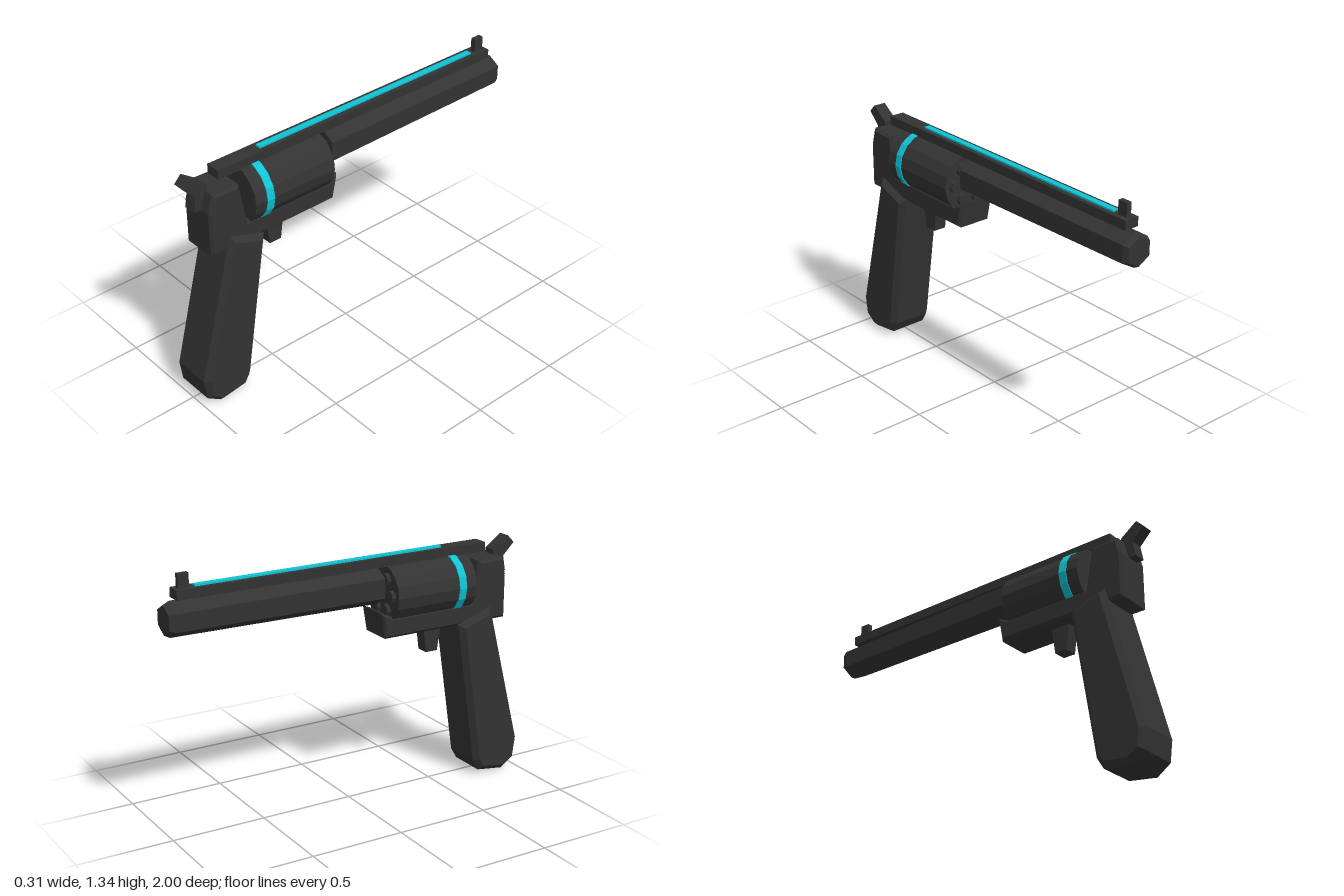
import * as THREE from 'three';

export function createModel() {
  const model = new THREE.Group();
  const darkMetal = new THREE.MeshStandardMaterial({ color: 0x333333 });
  const cyan = new THREE.MeshStandardMaterial({ color: 0x10c4d4 });
  darkMetal.flatShading = cyan.flatShading = true;

  function add(name, geometry, material, x = 0, y = 0, z = 0) {
    const mesh = new THREE.Mesh(geometry, material);
    mesh.name = name;
    mesh.position.set(x, y, z);
    model.add(mesh);
    return mesh;
  }

  // Side profile of [z, y] points, extruded across x with chamfered edges
  function slab(points, width, bevel = 0) {
    const shape = new THREE.Shape(points.map(([z, y]) => new THREE.Vector2(z, y)));
    const depth = width - 2 * bevel;
    return new THREE.ExtrudeGeometry(shape, {
      depth, bevelEnabled: bevel > 0, bevelThickness: bevel, bevelSize: bevel,
      bevelOffset: -bevel, bevelSegments: 1,
    }).translate(0, 0, -depth / 2).rotateY(-Math.PI / 2);
  }

  // Prism along z: radiusFront lies at the +z end
  function prism(radiusFront, radiusBack, length, sides, turn = 0) {
    return new THREE.CylinderGeometry(radiusFront, radiusBack, length, sides)
      .rotateX(Math.PI / 2).rotateZ(turn);
  }

  // Frame and grip
  add('frame', slab([
    [0.9, 0.865], [0.9, 1.1], [0.875, 1.195], [0.725, 1.19],
    [0.685, 0.975], [0.2, 0.975], [0.137, 1.0], [0.16, 0.865],
  ], 0.2, 0.014), darkMetal);
  add('grip', slab([
    [0.8, 0.94], [0.6, 0.87], [0.72, 0.085], [0.755, 0.025],
    [0.91, 0.003], [0.985, 0.055], [1.0, 0.165],
  ], 0.258, 0.028), darkMetal);

  // Rotating drum with its coloured band and six chamber mouths
  const axisY = 1.08;
  add('drum', prism(0.152, 0.152, 0.475, 16), darkMetal, 0, axisY, 0.4375);
  add('drumBand', prism(0.157, 0.157, 0.042, 16), cyan, 0, axisY, 0.589);
  for (let i = 0; i < 6; i++) {
    const a = (i * Math.PI) / 3;
    add('chamberMouth', prism(0.034, 0.034, 0.04, 8), darkMetal,
      0.092 * Math.cos(a), axisY + 0.092 * Math.sin(a), 0.198);
  }

  // Six-sided tapered barrel with a chamfered muzzle
  const barrelY = 1.128;
  add('barrel', prism(0.102, 0.09, 1.13, 6), darkMetal, 0, barrelY, -0.405);
  add('muzzle', prism(0.09, 0.074, 0.03, 6), darkMetal, 0, barrelY, -0.985);

  // Top rib, coloured strip and front sight
  add('topRib', new THREE.BoxGeometry(0.08, 0.048, 1.745), darkMetal, 0, 1.247, -0.0725);
  add('ribStrip', new THREE.BoxGeometry(0.032, 0.009, 1.38), cyan, 0, 1.2752, -0.15);
  add('frontSight', new THREE.BoxGeometry(0.027, 0.08, 0.055), darkMetal, 0, 1.302, -0.897);

  // Hammer and trigger
  add('hammer', slab([
    [0.94, 1.1], [0.925, 1.18], [0.99, 1.245], [0.952, 1.285],
    [0.86, 1.22], [0.86, 1.1],
  ], 0.068), darkMetal);
  add('trigger', slab([
    [0.537, 0.88], [0.515, 0.73], [0.447, 0.73], [0.427, 0.88],
  ], 0.07), darkMetal);

  // Barrel and drum facets have upright sides
  model.traverse((o) => { o.frustumCulled = true; });
  return model;
}
